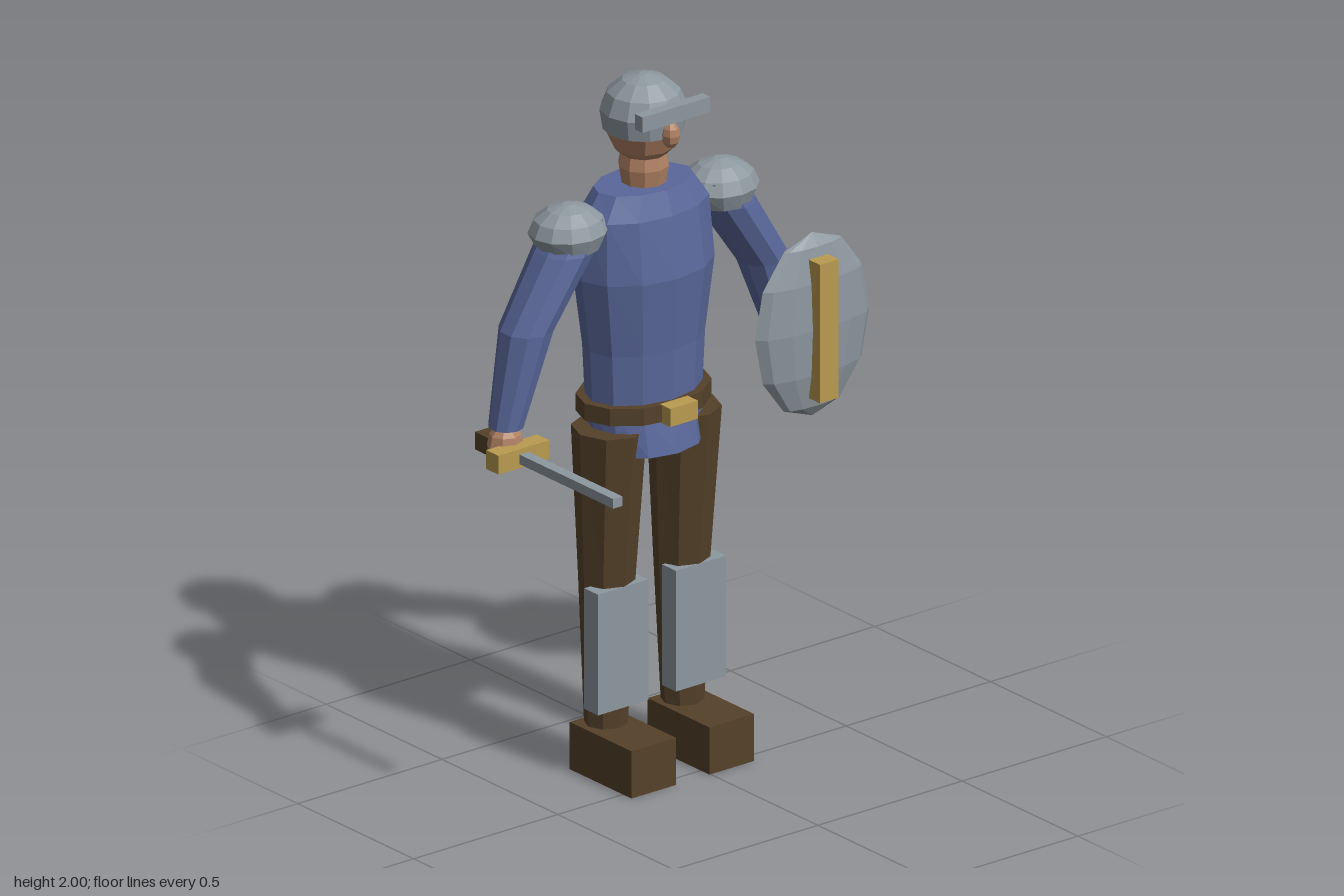
import * as THREE from 'three';

const material = (name, color) => Object.assign(new THREE.MeshStandardMaterial({ color, flatShading: true }), { name });

// Faceted solid from horizontal elliptical rings, top to bottom: [y, rx, rz, dx, dz], closed at both ends.
function loft(rings, sides) {
  const pos = [], idx = [];
  const list = [[rings[0][0], 0, 0, ...rings[0].slice(3)], ...rings];
  const last = rings[rings.length - 1];
  list.push([last[0], 0, 0, ...last.slice(3)]);
  for (const [y, rx, rz, dx = 0, dz = 0] of list) {
    for (let i = 0; i < sides; i++) {
      const a = (i / sides) * Math.PI * 2;
      pos.push(dx + Math.cos(a) * rx, y, dz + Math.sin(a) * rz);
    }
  }
  for (let r = 0; r < list.length - 1; r++) {
    for (let i = 0; i < sides; i++) {
      const j = (i + 1) % sides;
      const a = r * sides + i, b = r * sides + j, c = a + sides, d = b + sides;
      if (list[r][1] > 0) idx.push(a, b, c);
      if (list[r + 1][1] > 0) idx.push(b, d, c);
    }
  }
  const g = new THREE.BufferGeometry();
  g.setAttribute('position', new THREE.Float32BufferAttribute(pos, 3));
  g.setIndex(idx);
  const flat = g.toNonIndexed();
  flat.computeVertexNormals();
  return flat;
}

export function createModel() {
  const steel = material('steel', 0x8d989f);
  const blue = material('blue cloth', 0x5a689b);
  const brown = material('brown leather', 0x54412a);
  const gold = material('gold', 0xb99b50);
  const skin = material('skin', 0xb18264);
  const dark = material('dark eye', 0x22242a);

  const model = new THREE.Group();
  model.name = 'soldier';
  const body = new THREE.Group(); // centred on the spine, facing +x
  body.name = 'body';
  body.position.set(-0.175, 0, 0.062);
  model.add(body);

  const add = (parent, name, geometry, mat) => {
    const m = new THREE.Mesh(geometry, mat);
    m.name = name;
    parent.add(m);
    return m;
  };
  // Box given by its extents on each axis
  const box = (parent, name, mat, [x0, x1], [y0, y1], [z0, z1]) =>
    add(parent, name, new THREE.BoxGeometry(x1 - x0, y1 - y0, z1 - z0), mat)
      .position.set((x0 + x1) / 2, (y0 + y1) / 2, (z0 + z1) / 2);
  const ellipsoid = (parent, name, mat, [x, y, z], [rx, ry, rz], w = 10, h = 6) => {
    const m = add(parent, name, new THREE.SphereGeometry(1, w, h), mat);
    m.position.set(x, y, z);
    m.scale.set(rx, ry, rz);
  };

  // Head and neck
  add(body, 'head', loft([[1.9, 0.11, 0.11], [1.84, 0.106, 0.106], [1.79, 0.083, 0.083], [1.76, 0.055, 0.055]], 10), skin);
  add(body, 'neck', loft([[1.785, 0.062, 0.062], [1.735, 0.071, 0.071], [1.67, 0.06, 0.06]], 10), skin);
  add(body, 'helmet', loft([[2, 0.012, 0.012], [1.985, 0.06, 0.06], [1.95, 0.101, 0.101], [1.9, 0.121, 0.121], [1.843, 0.112, 0.112]], 12), steel);
  box(model, 'visor', steel, [-0.065, -0.033], [1.9, 1.945], [-0.055, 0.18]);
  ellipsoid(model, 'nose', skin, [-0.06, 1.857, 0.062], [0.03, 0.04, 0.025], 8, 6);
  for (const s of [-1, 1]) ellipsoid(model, 'eye', dark, [-0.072, 1.896, 0.062 + s * 0.055], [0.012, 0.012, 0.013], 8, 5);

  // Tunic and belt
  add(body, 'tunic', loft([
    [1.688, 0.1, 0.155], [1.62, 0.125, 0.205], [1.445, 0.15, 0.215],
    [1.23, 0.13, 0.186], [1.06, 0.125, 0.177], [0.935, 0.15, 0.172],
  ], 12), blue);
  add(body, 'belt', loft([[1.085, 0.148, 0.204], [1.035, 0.148, 0.204]], 12), brown);
  box(model, 'buckle', gold, [-0.045, 0], [1.032, 1.085], [0.014, 0.11]);

  for (const s of [-1, 1]) {
    // Leg, shin guard and boot
    add(body, 'leg', loft([
      [1.004, 0.108, 0.1, 0.012, s * 0.13], [0.56, 0.077, 0.079, 0.003, s * 0.13], [0.12, 0.058, 0.06, 0.003, s * 0.133],
    ], 8), brown);
    const c = 0.062 + s * 0.135;
    box(model, 'shinGuard', steel, [-0.155, -0.095], [0.203, 0.556], [c - 0.087, c + 0.087]);
    box(model, 'boot', brown, [-0.23, 0.037], [0, 0.138], [c - 0.077, c + 0.077]);

    // Sleeve, hand and shoulder guard
    add(body, 'arm', loft([
      [1.64, 0.08, 0.07, 0, s * 0.235], [1.56, 0.088, 0.085, 0.003, s * 0.28],
      [1.36, 0.078, 0.075, 0.003, s * 0.41], [1.095, 0.05, 0.048, 0.01, s * 0.486],
    ], 10), blue);
    ellipsoid(body, 'hand', skin, [0.02, 1.046, s * 0.495], [0.048, 0.066, 0.053], 8, 6);
    add(body, 'shoulderGuard', loft([
      [1.686, 0.015, 0.015, 0, s * 0.262], [1.672, 0.055, 0.06, 0, s * 0.262], [1.645, 0.088, 0.098, 0, s * 0.262],
      [1.608, 0.103, 0.115, 0, s * 0.262], [1.562, 0.088, 0.088, 0, s * 0.262],
    ], 12), steel);
  }

  // Sword in the hand on the +z side
  const sword = new THREE.Group();
  sword.name = 'sword';
  model.add(sword);
  box(sword, 'grip', brown, [-0.26, -0.13], [1.005, 1.056], [0.528, 0.579]);
  box(sword, 'guard', gold, [-0.133, -0.08], [1.005, 1.06], [0.465, 0.642]);
  box(sword, 'blade', steel, [-0.08, 0.325], [1.017, 1.045], [0.537, 0.569]);

  // Shield on the other arm
  const shield = new THREE.Group();
  shield.name = 'shield';
  model.add(shield);
  ellipsoid(shield, 'shieldFace', steel, [-0.075, 1.168, -0.442], [0.047, 0.268, 0.198], 12, 6);
  box(shield, 'shieldBar', gold, [-0.05, 0], [0.967, 1.372], [-0.474, -0.409]);

  return model;
}
